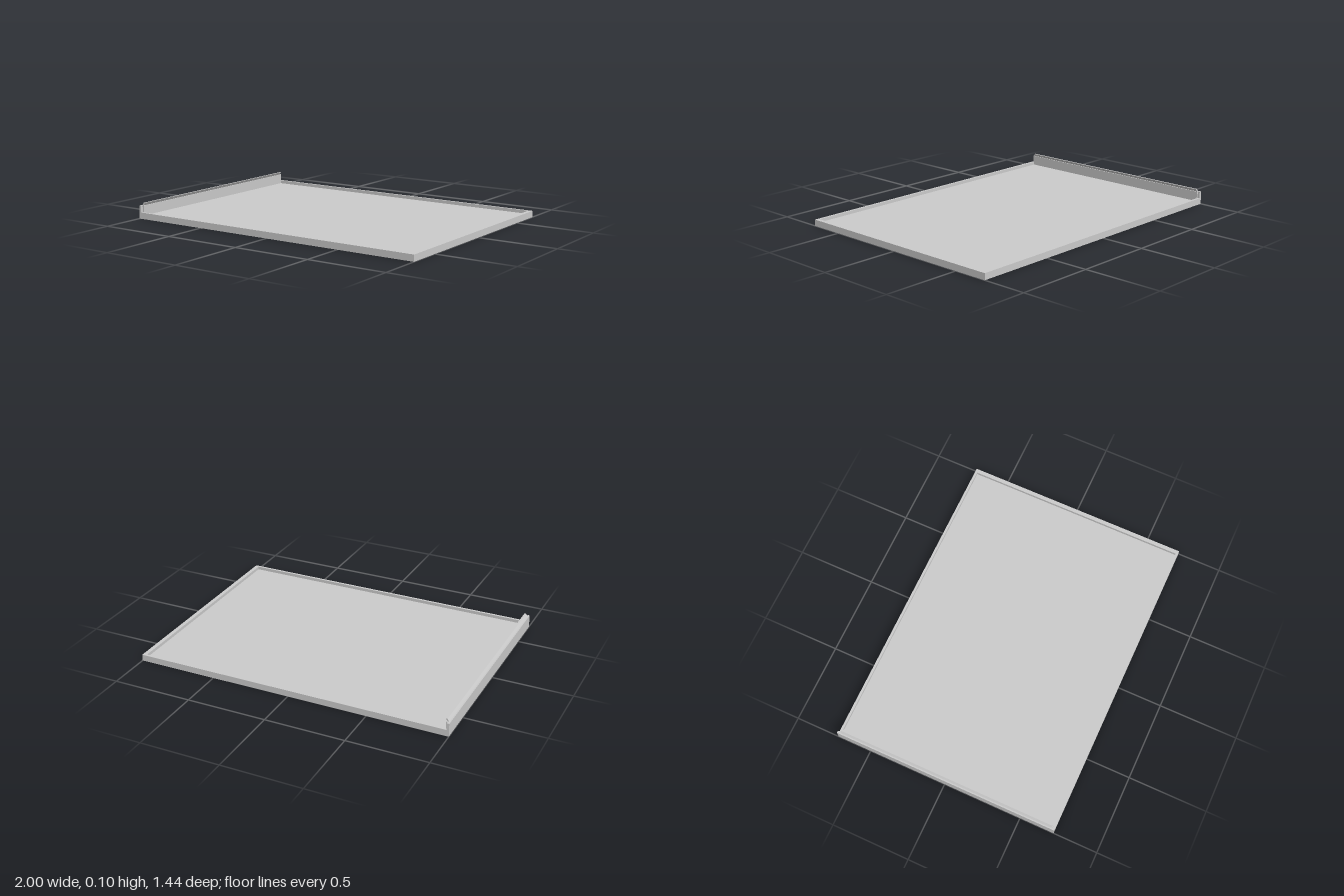
import * as THREE from 'three';

const material = new THREE.MeshStandardMaterial({ color: 0xcccccc, flatShading: true });

export function createModel() {
  const model = new THREE.Group();

  const add = (name, geometry) => {
    const mesh = new THREE.Mesh(geometry, material);
    mesh.name = name;
    model.add(mesh);
  };

  // Box given by its lower and upper bounds
  const box = (name, [x0, y0, z0], [x1, y1, z1]) => add(name,
    new THREE.BoxGeometry(x1 - x0, y1 - y0, z1 - z0)
      .translate((x0 + x1) / 2, (y0 + y1) / 2, (z0 + z1) / 2));

  const W = 1, D = 0.72, rimX = 0.975, rimZ = 0.705;

  // Base plate and the low rim on the three open sides
  box('floor', [-W, 0, -D], [W, 0.02, D]);
  box('leftRim', [rimX, 0.02, -D], [W, 0.04, D]);
  box('frontRim', [-rimX, 0.02, rimZ], [rimX, 0.04, D]);
  box('backRim', [-rimX, 0.02, -D], [rimX, 0.04, -rimZ]);

  // Taller wall along the right edge, thickened between its ends
  box('hingeWall', [-W, 0.02, -D], [-0.985, 0.083, D]);
  box('wallBase', [-0.985, 0.02, -D], [-rimX, 0.04, D]);
  box('wallLiner', [-0.985, 0.04, -rimZ], [-rimX, 0.083, rimZ]);

  // Slanted lip on top of the wall, leaning inwards
  const lip = new THREE.Shape([
    [-0.992, 0.083], [-0.981, 0.083], [-0.97, 0.1], [-0.981, 0.1],
  ].map(([x, y]) => new THREE.Vector2(x, y)));
  add('slantedLip', new THREE.ExtrudeGeometry(lip, { depth: 1.4, bevelEnabled: false })
    .translate(0, 0, -0.7));

  return model;
}
